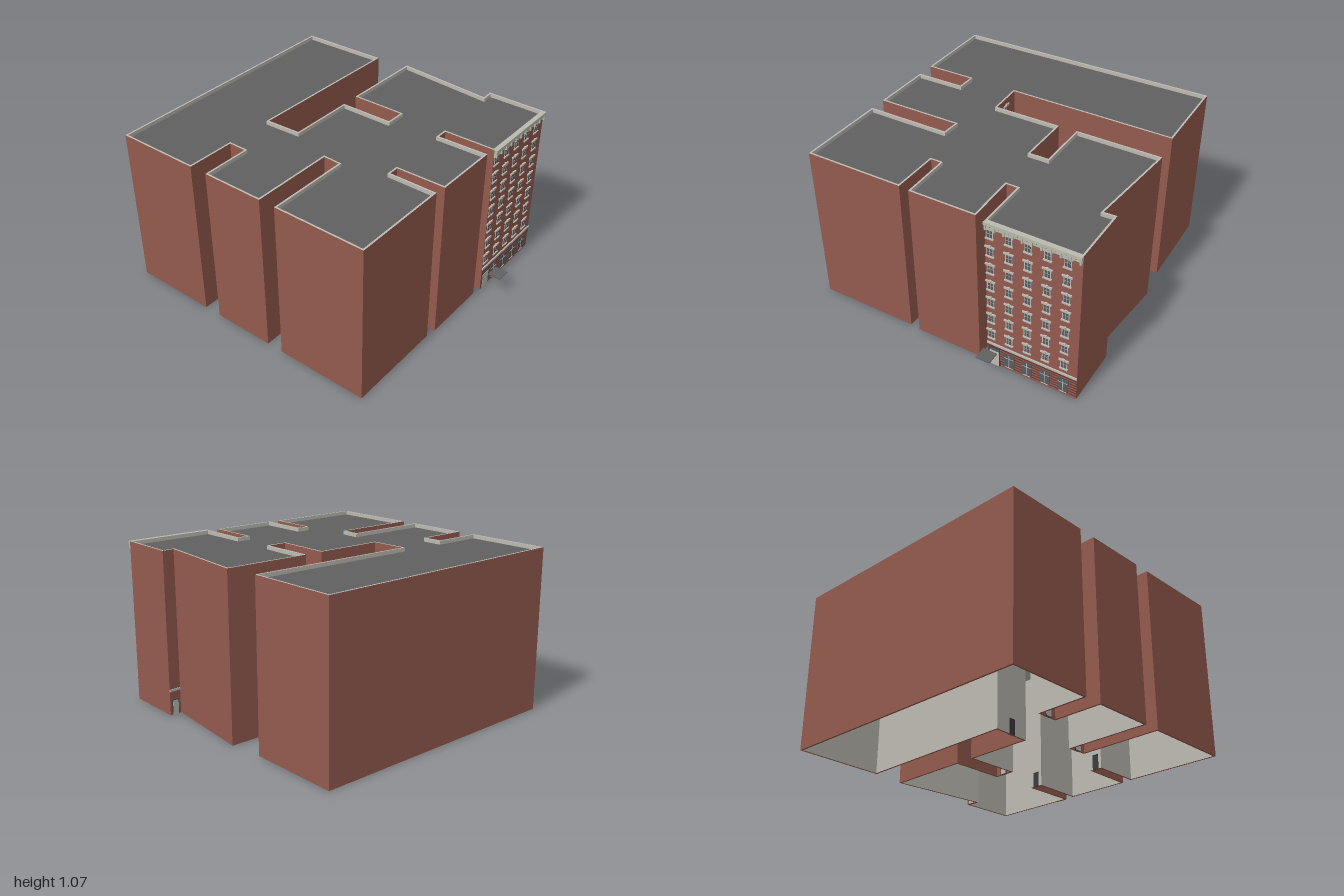
import * as THREE from 'three';

const mat = (name, color) => {
  const m = new THREE.MeshStandardMaterial({ color });
  m.name = name;
  return m;
};
const M = {
  brick: mat('brick', 0x935a4e),
  darkBrick: mat('dark brick', 0x5f3a35),
  stone: mat('pale stone', 0xbdbab2),
  cornice: mat('cornice paint', 0xb8baac),
  roof: mat('roof felt', 0x606060),
  glass: mat('window glass', 0x565c60),
  iron: mat('dark iron', 0x3c3c3e),
};

const HEIGHT = 1.07, ROOF = 1.045, WALL = 0.012;
const FRONT_Z = 0.865;

// Footprint corners as x, z, clockwise seen from above
const OUTLINE = [
  [-0.92, -0.975], [0.86, -1.0], [0.87, -0.4], [-0.25, -0.41], [-0.24, -0.18],
  [0.208, -0.18], [0.208, 0.175], [0.33, 0.175], [0.33, -0.183], [0.9, -0.18],
  [0.84, 0.475], [0.92, 0.47], [0.92, FRONT_Z], [0.322, FRONT_Z], [0.32, 0.52],
  [0.25, 0.52], [0.257, 0.855], [-0.19, 0.855], [-0.195, 0.53], [-0.26, 0.53],
  [-0.26, 0.845], [-0.92, 0.845], [-0.92, 0.235], [-0.365, 0.235], [-0.36, 0.125],
  [-0.92, 0.125], [-0.92, -0.29], [-0.595, -0.293], [-0.595, -0.41], [-0.92, -0.41],
];
// Edges at the back of each recess that hold a side door
const DOOR_EDGES = [3, 6, 10, 14, 18, 23, 27];

// Footprint moved inwards by t with mitred corners
function inset(pts, t) {
  const n = pts.length;
  const normal = (a, b) => {
    const dx = b[0] - a[0], dz = b[1] - a[1], l = Math.hypot(dx, dz);
    return [-dz / l, dx / l];
  };
  return pts.map((p, i) => {
    const a = normal(pts[(i + n - 1) % n], p), b = normal(p, pts[(i + 1) % n]);
    const k = t / (1 + a[0] * b[0] + a[1] * b[1]);
    return [p[0] + (a[0] + b[0]) * k, p[1] + (a[1] + b[1]) * k];
  });
}

// Vertical wall faces along a closed footprint
function wallGeometry(pts, y0, y1) {
  const v = [];
  pts.forEach((p, i) => {
    const q = pts[(i + 1) % pts.length];
    const a = [q[0], y0, q[1]], b = [p[0], y0, p[1]], c = [p[0], y1, p[1]], d = [q[0], y1, q[1]];
    v.push(...a, ...b, ...c, ...a, ...c, ...d);
  });
  const g = new THREE.BufferGeometry();
  g.setAttribute('position', new THREE.Float32BufferAttribute(v, 3));
  g.computeVertexNormals();
  return g;
}

// Horizontal face of a footprint, with an optional hole, facing up or down
function flatGeometry(pts, hole, y, up) {
  const s = up ? -1 : 1;
  const to2 = (list) => list.map(([x, z]) => new THREE.Vector2(x, s * z));
  const shape = new THREE.Shape(to2(pts));
  if (hole) shape.holes.push(new THREE.Path(to2(hole)));
  return new THREE.ShapeGeometry(shape).rotateX(s * Math.PI / 2).translate(0, y, 0);
}

function add(parent, name, geometry, material) {
  const m = new THREE.Mesh(geometry, material);
  m.name = name;
  parent.add(m);
  return m;
}

// Box sitting on a wall plane: centre x, y, with its back at z
function plate(parent, name, material, x, y, w, h, d, z = 0) {
  const m = add(parent, name, new THREE.BoxGeometry(w, h, d), material);
  m.position.set(x, y, z + d / 2);
  return m;
}

function namedGroup(parent, name) {
  const g = new THREE.Group();
  g.name = name;
  parent.add(g);
  return g;
}

// Sash window with stone frame, lintel, keystone and sill
function sashWindow(parent, x, y) {
  const g = namedGroup(parent, 'sashWindow');
  g.position.set(x, y, 0);
  plate(g, 'windowFrame', M.stone, 0, 0, 0.044, 0.064, 0.003);
  for (const s of [-1, 1]) plate(g, 'windowPane', M.glass, 0, s * 0.014, 0.034, 0.024, 0.002, 0.002);
  plate(g, 'glazingBar', M.stone, 0, 0, 0.003, 0.054, 0.003, 0.002);
  plate(g, 'lintel', M.stone, 0, 0.032, 0.064, 0.011, 0.009);
  plate(g, 'keystone', M.stone, 0, 0.036, 0.014, 0.014, 0.012);
  plate(g, 'sill', M.stone, 0, -0.034, 0.054, 0.009, 0.009);
}

// Side door with its stone band, centred on one footprint edge
function sideEntrance(parent, edge) {
  const [px, pz] = OUTLINE[edge], [qx, qz] = OUTLINE[edge + 1];
  const dx = qx - px, dz = qz - pz, len = Math.hypot(dx, dz);
  const g = namedGroup(parent, 'sideEntrance');
  g.position.set((px + qx) / 2, 0, (pz + qz) / 2);
  g.rotation.y = Math.atan2(dz, -dx);
  plate(g, 'doorFrame', M.iron, 0, 0.05, 0.05, 0.1, 0.003);
  plate(g, 'door', M.stone, 0, 0.048, 0.042, 0.094, 0.003, 0.002);
  plate(g, 'doorInside', M.iron, 0, 0.05, 0.045, 0.1, 0.003, -WALL - 0.003);
  plate(g, 'stoneBand', M.stone, 0, 0.165, len, 0.014, 0.006);
  return g;
}

// Street front: windows, shopfronts, entrance, cornice
function streetFront(parent) {
  const g = namedGroup(parent, 'streetFront');
  g.position.z = FRONT_Z;
  const cx = 0.621, width = 0.598;
  const columns = [0.353, 0.473, 0.593, 0.713, 0.833];

  for (const x of columns)
    for (let row = 0; row < 7; row++) sashWindow(g, x, 0.243 + row * 0.1245);

  // Ground floor brick courses and stone band
  plate(g, 'stoneBand', M.stone, cx, 0.166, width, 0.014, 0.008);
  plate(g, 'brickBand', M.darkBrick, cx, 0.147, width, 0.006, 0.006);
  for (let i = 0; i < 6; i++)
    plate(g, 'brickCourse', M.darkBrick, 0.665, 0.025 + i * 0.02, 0.51, 0.005, 0.002);

  for (const x of columns.slice(1)) {
    const shop = namedGroup(g, 'shopWindow');
    shop.position.set(x, 0.073, 0);
    plate(shop, 'shopGlass', M.glass, 0, 0, 0.068, 0.106, 0.004);
    plate(shop, 'mullion', M.stone, 0, 0, 0.004, 0.1, 0.003, 0.003);
    plate(shop, 'transom', M.stone, 0, 0.022, 0.064, 0.003, 0.003, 0.003);
    plate(shop, 'shopSill', M.stone, 0, -0.05, 0.05, 0.004, 0.004, 0.003);
  }

  // Main entrance and its canopy plate
  plate(g, 'entranceSurround', M.iron, 0.37, 0.07, 0.078, 0.14, 0.003);
  plate(g, 'entranceDoor', M.stone, 0.37, 0.056, 0.066, 0.112, 0.006);
  plate(g, 'entranceTransom', M.glass, 0.37, 0.124, 0.066, 0.018, 0.005);
  plate(g, 'canopy', M.roof, 0.37, 0.148, 0.094, 0.006, 0.087, 0.048);

  // Cornice with brackets and small panels
  plate(g, 'corniceTop', M.cornice, cx, 1.061, width, 0.018, 0.02);
  plate(g, 'corniceFrieze', M.cornice, cx, 1.041, width, 0.022, 0.012);
  for (let i = 0; i < 11; i++) {
    const x = 0.331 + i * 0.058;
    plate(g, 'corniceBracket', M.cornice, x, 1.035, 0.012, 0.034, 0.018);
    if (i < 10) plate(g, 'friezePanel', M.iron, x + 0.029, 1.045, 0.006, 0.004, 0.001, 0.012);
  }
}

export function createModel() {
  const model = new THREE.Group();
  model.name = 'apartmentBlock';
  const inner = inset(OUTLINE, WALL);

  // Hollow shell: brick outside, pale lining and parapet inside
  add(model, 'outerWalls', wallGeometry(OUTLINE, 0, HEIGHT), M.brick);
  add(model, 'innerWalls', wallGeometry([...inner].reverse(), 0, HEIGHT), M.stone);
  add(model, 'parapetCap', flatGeometry(OUTLINE, inner, HEIGHT, true), M.stone);
  add(model, 'wallFoot', flatGeometry(OUTLINE, inner, 0, false), M.brick);
  add(model, 'roof', flatGeometry(inner, null, ROOF, true), M.roof);
  add(model, 'ceiling', flatGeometry(inner, null, ROOF - 0.01, false), M.stone);

  // Recess doors; the widest recess also has a column of windows
  const entrances = DOOR_EDGES.map((edge) => sideEntrance(model, edge));
  for (let row = 0; row < 7; row++) sashWindow(entrances[0], 0, 0.243 + row * 0.1245);

  streetFront(model);
  return model;
}
